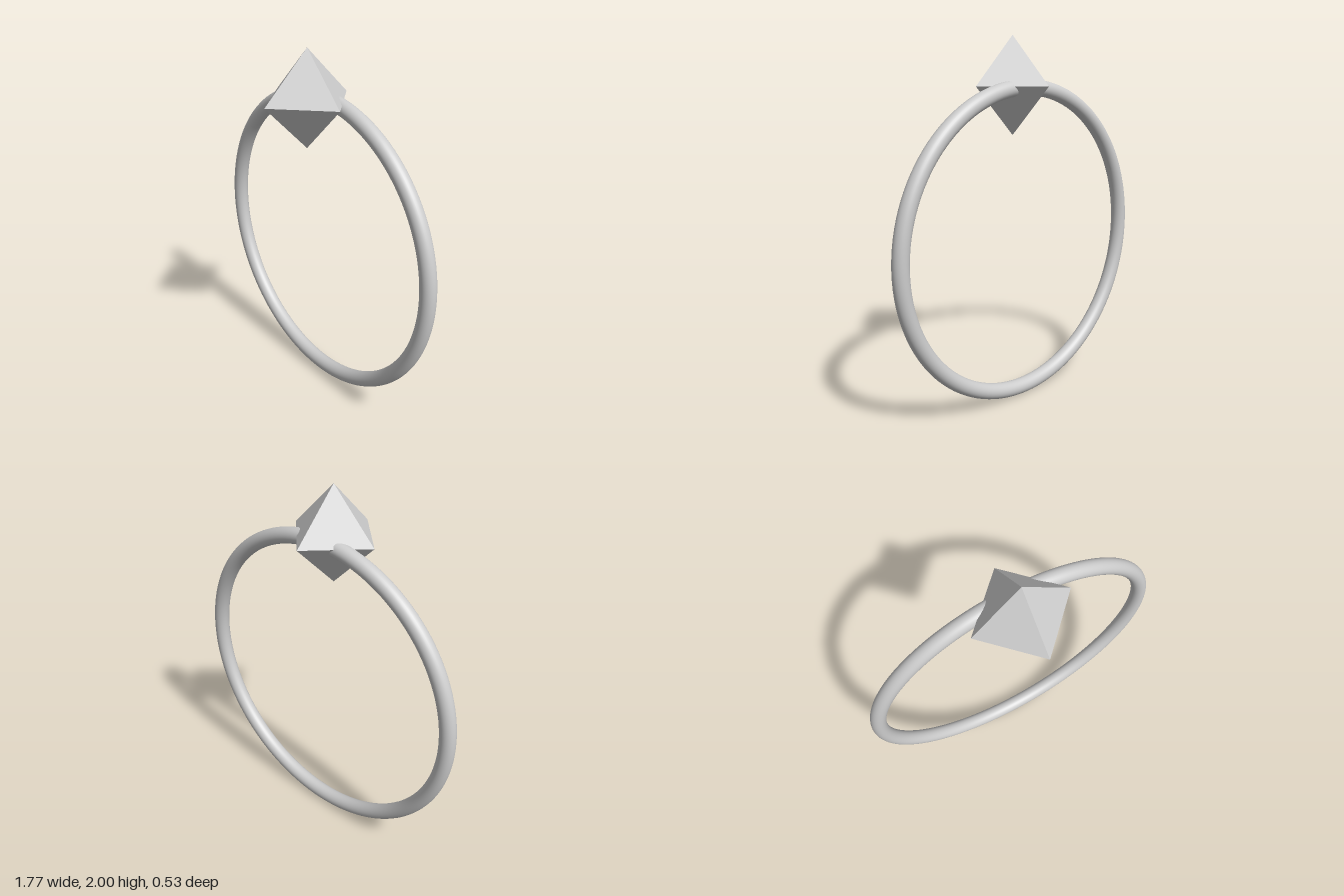
import * as THREE from 'three';

export function createModel() {
  const model = new THREE.Group();
  model.name = 'towelRing';

  const metal = new THREE.MeshStandardMaterial({ color: 0xcccccc });
  metal.name = 'light grey metal';

  // Round hanging ring, passing through the back of the mount
  const tube = 0.0435, outer = 0.886;
  const ring = new THREE.Mesh(new THREE.TorusGeometry(outer - tube, tube, 32, 128), metal);
  ring.name = 'ring';
  ring.position.set(0, outer, -0.1);
  model.add(ring);

  // Faceted wall mount: a regular octahedron with hard edges
  const size = 0.265;
  const mount = new THREE.Mesh(new THREE.OctahedronGeometry(size, 0), metal);
  mount.name = 'mount';
  mount.position.y = 2 - size;
  model.add(mount);

  return model;
}
